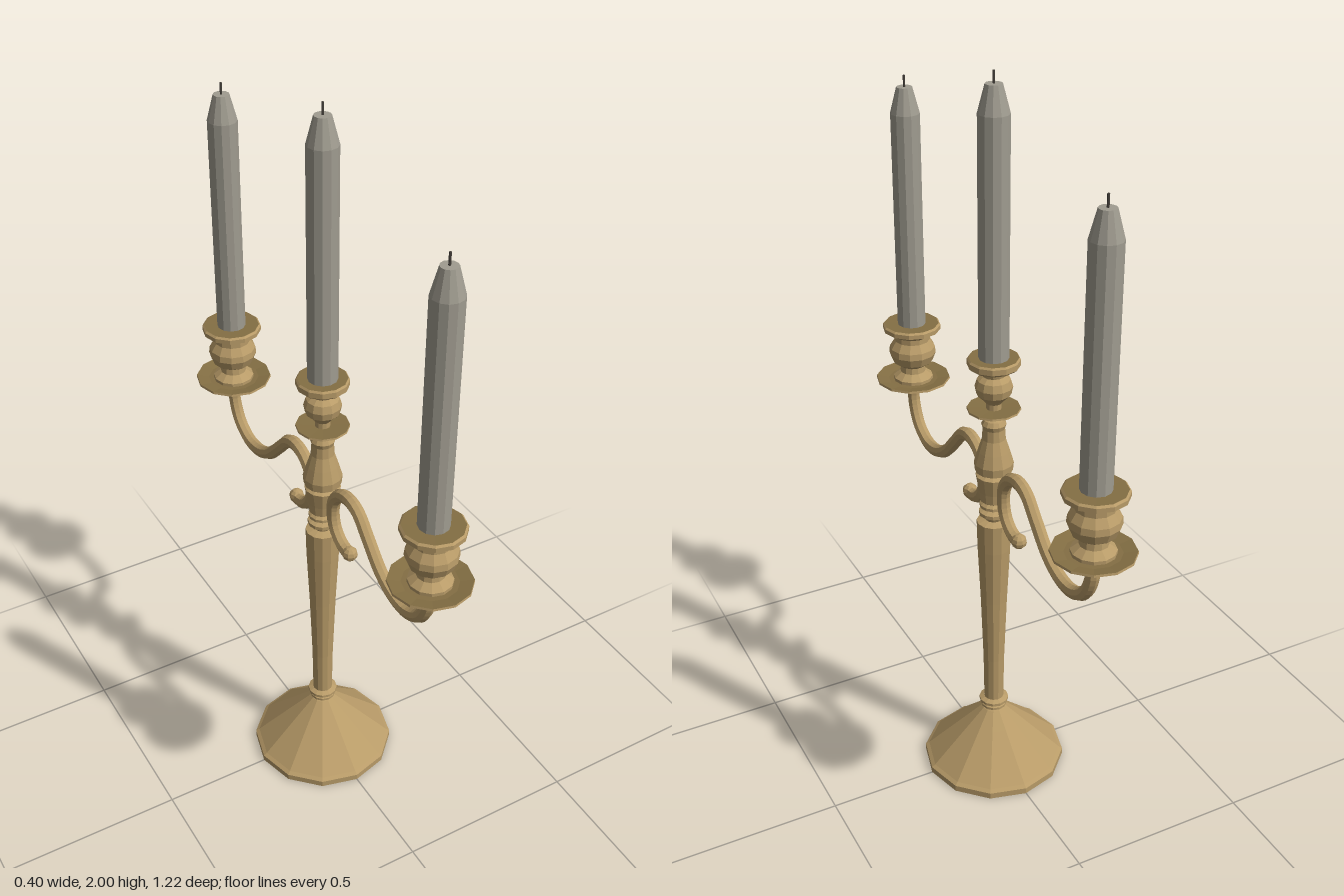
import * as THREE from 'three';

const brass = new THREE.MeshStandardMaterial({ color: 0xb89b68, flatShading: true });
brass.name = 'brass';
const darkBrass = new THREE.MeshStandardMaterial({ color: 0x846f44, flatShading: true });
darkBrass.name = 'dark brass';
const wax = new THREE.MeshStandardMaterial({ color: 0xa09c90, flatShading: true });
wax.name = 'candle wax';
const wickMat = new THREE.MeshStandardMaterial({ color: 0x45403a, flatShading: true });
wickMat.name = 'wick';

// Turned part from [radius, height] pairs, listed from the bottom up
function turned(name, pairs, material, sides = 12) {
  const points = pairs.map(([r, y]) => new THREE.Vector2(r, y));
  const mesh = new THREE.Mesh(new THREE.LatheGeometry(points, sides), material);
  mesh.name = name;
  return mesh;
}

// Candle standing on y = 0, with a tapered tip and a wick
function candle(bodyHeight) {
  const group = new THREE.Group();
  group.name = 'candle';
  const tip = bodyHeight + 0.068;
  group.add(turned('wax', [[0, 0], [0.039, 0], [0.039, bodyHeight], [0.021, tip], [0, tip]], wax));
  const wick = new THREE.Mesh(new THREE.CylinderGeometry(0.003, 0.003, 0.03, 6), wickMat);
  wick.name = 'wick';
  wick.position.y = tip + 0.015;
  group.add(wick);
  return group;
}

// Foot, tapered column and the turned upper stem
function stem() {
  const group = new THREE.Group();
  group.name = 'stem';
  group.add(turned('foot', [
    [0, 0], [0.2, 0], [0.2, 0.018], [0.19, 0.025], [0.075, 0.135], [0.033, 0.175], [0.025, 0.18],
  ], brass));
  group.add(turned('lowerCollar', [
    [0.025, 0.178], [0.036, 0.183], [0.036, 0.19], [0.03, 0.194], [0.041, 0.2], [0.041, 0.208], [0.028, 0.214],
  ], brass));
  group.add(turned('column', [
    [0.027, 0.21], [0.029, 0.35], [0.036, 0.55], [0.044, 0.72], [0.046, 0.805], [0.02, 0.812],
  ], brass));
  group.add(turned('upperCollar', [
    [0.022, 0.808], [0.027, 0.82], [0.04, 0.828], [0.04, 0.838], [0.025, 0.844],
    [0.038, 0.852], [0.038, 0.86], [0.028, 0.868],
  ], brass));
  group.add(turned('armHub', [
    [0.028, 0.866], [0.037, 0.872], [0.04, 0.9], [0.048, 0.948], [0.035, 0.956],
  ], brass));
  group.add(turned('vase', [
    [0.035, 0.954], [0.05, 0.962], [0.052, 0.985], [0.042, 1.02], [0.031, 1.055],
    [0.029, 1.085], [0.033, 1.098], [0.026, 1.11], [0.018, 1.114], [0.018, 1.135],
  ], brass));
  return group;
}

// Small drip dish and cup on top of the stem
function centreHolder() {
  const group = new THREE.Group();
  group.name = 'centreHolder';
  group.add(turned('dripDish', [[0.018, 1.131], [0.045, 1.133], [0.07, 1.14], [0.069, 1.145]], brass));
  group.add(turned('dripDishTop', [[0.069, 1.145], [0.015, 1.142]], darkBrass));
  group.add(turned('cup', [
    [0.02, 1.14], [0.02, 1.158], [0.028, 1.168], [0.045, 1.185], [0.049, 1.205], [0.043, 1.225],
    [0.03, 1.236], [0.033, 1.25], [0.06, 1.258], [0.068, 1.265], [0.068, 1.28], [0.064, 1.285],
  ], brass));
  group.add(turned('cupTop', [[0.064, 1.285], [0, 1.283]], darkBrass));
  const light = candle(0.617);
  light.position.y = 1.283;
  group.add(light);
  return group;
}

// Wide drip dish and cup at the end of an arm
function armHolder() {
  const group = new THREE.Group();
  group.name = 'armHolder';
  group.add(turned('dripDish', [
    [0, 0.978], [0.026, 0.978], [0.034, 0.99], [0.075, 0.993], [0.105, 1.003], [0.104, 1.009],
  ], brass));
  group.add(turned('dripDishTop', [[0.104, 1.009], [0.07, 1.003], [0.03, 1.003]], darkBrass));
  group.add(turned('cup', [
    [0.056, 1.002], [0.056, 1.012], [0.036, 1.028], [0.034, 1.045], [0.056, 1.06], [0.066, 1.085],
    [0.064, 1.103], [0.05, 1.125], [0.05, 1.14], [0.066, 1.15], [0.081, 1.158], [0.081, 1.17], [0.076, 1.175],
  ], brass));
  group.add(turned('cupTop', [[0.076, 1.175], [0, 1.173]], darkBrass));
  const light = candle(0.597);
  light.position.y = 1.173;
  group.add(light);
  return group;
}

// Scrolled arm reaching along +z, with its holder
function arm() {
  const group = new THREE.Group();
  group.name = 'arm';
  const path = [
    [0.505, 0.985], [0.504, 0.93], [0.475, 0.87], [0.42, 0.837], [0.36, 0.837], [0.295, 0.867],
    [0.225, 0.935], [0.18, 0.98], [0.14, 0.992], [0.095, 0.98], [0.062, 0.942], [0.054, 0.9],
    [0.066, 0.855], [0.1, 0.824], [0.145, 0.815],
  ].map(([z, y]) => new THREE.Vector3(0, y, z));
  const curve = new THREE.CatmullRomCurve3(path);
  const scroll = new THREE.Mesh(new THREE.TubeGeometry(curve, 48, 0.018, 8), brass);
  scroll.name = 'scroll';
  group.add(scroll);
  const knob = new THREE.Mesh(new THREE.SphereGeometry(0.021, 8, 6), brass);
  knob.name = 'scrollKnob';
  knob.position.set(0, 0.82, 0.142);
  group.add(knob);
  const holder = armHolder();
  holder.position.z = 0.505;
  group.add(holder);
  return group;
}

export function createModel() {
  const model = new THREE.Group();
  model.name = 'candelabra';
  model.add(stem(), centreHolder());
  for (const [name, turn] of [['frontArm', 0], ['backArm', Math.PI]]) {
    const side = arm();
    side.name = name;
    side.rotation.y = turn;
    model.add(side);
  }
  return model;
}
